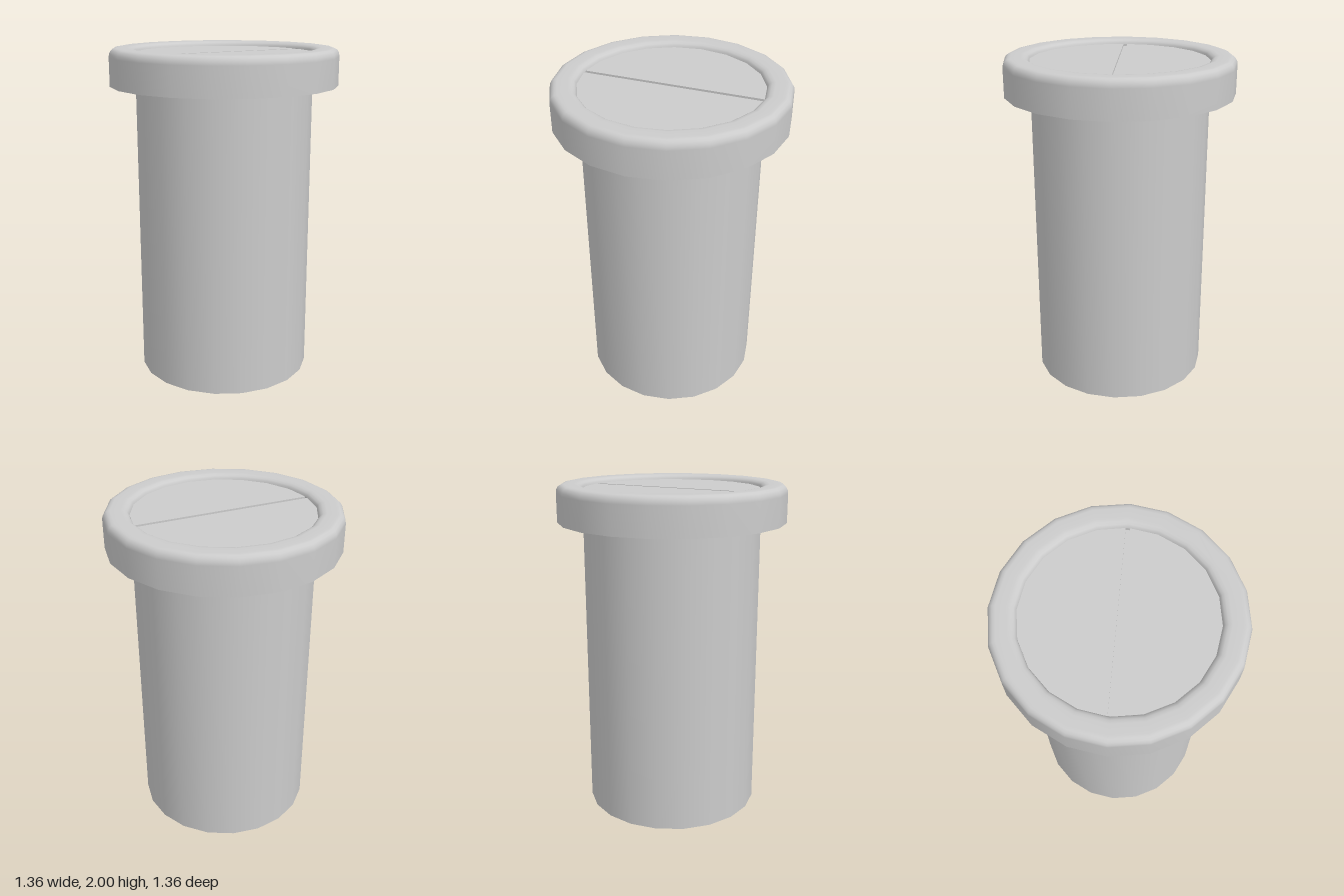
import * as THREE from 'three';

const SIDES = 20;
const PIPE_R = 0.528;
const LID_Y = 1.97;
const GAP = 0.012;

const material = new THREE.MeshStandardMaterial({ color: 0xcccccc, side: THREE.DoubleSide });

function addMesh(group, name, geometry) {
  const mesh = new THREE.Mesh(geometry, material);
  mesh.name = name;
  group.add(mesh);
  return mesh;
}

function lathe(points) {
  return new THREE.LatheGeometry(points.map(([r, y]) => new THREE.Vector2(r, y)), SIDES);
}

// Half of the lid: a half polygon with its straight edge set back from the slot
function halfLidGeometry() {
  const shape = new THREE.Shape();
  for (let i = 0; i <= SIDES / 2; i++) {
    const a = (i / SIDES) * Math.PI * 2;
    const x = PIPE_R * Math.cos(a);
    const y = Math.max(GAP, PIPE_R * Math.sin(a));
    if (i === 0) shape.moveTo(x, y);
    else shape.lineTo(x, y);
  }
  shape.closePath();
  const geometry = new THREE.ExtrudeGeometry(shape, { depth: 0.02, bevelEnabled: false });
  return geometry.rotateX(-Math.PI / 2).translate(0, LID_Y - 0.02, 0);
}

export function createModel() {
  const group = new THREE.Group();
  group.name = 'pipe';

  // Open-ended tube
  addMesh(group, 'tube', lathe([[PIPE_R, 0], [PIPE_R, LID_Y]]));

  // Hollow rim: straight skirt, rounded shoulder, flat top and inner lip
  addMesh(group, 'rim', lathe([
    [0.68, 1.78], [0.68, 1.95], [0.677, 1.97], [0.667, 1.988], [0.652, 1.997], [0.635, 2],
    [0.575, 2], [0.555, 1.997], [0.541, 1.989], [0.532, 1.978], [PIPE_R, 1.96],
  ]));

  // Two lid halves either side of a narrow slot
  addMesh(group, 'backLid', halfLidGeometry());
  addMesh(group, 'frontLid', halfLidGeometry()).rotation.y = Math.PI;

  // Floor of the slot
  const floor = addMesh(group, 'slotFloor', new THREE.BoxGeometry(PIPE_R * 2 - 0.01, 0.008, GAP * 2));
  floor.position.y = LID_Y - 0.016;

  return group;
}
